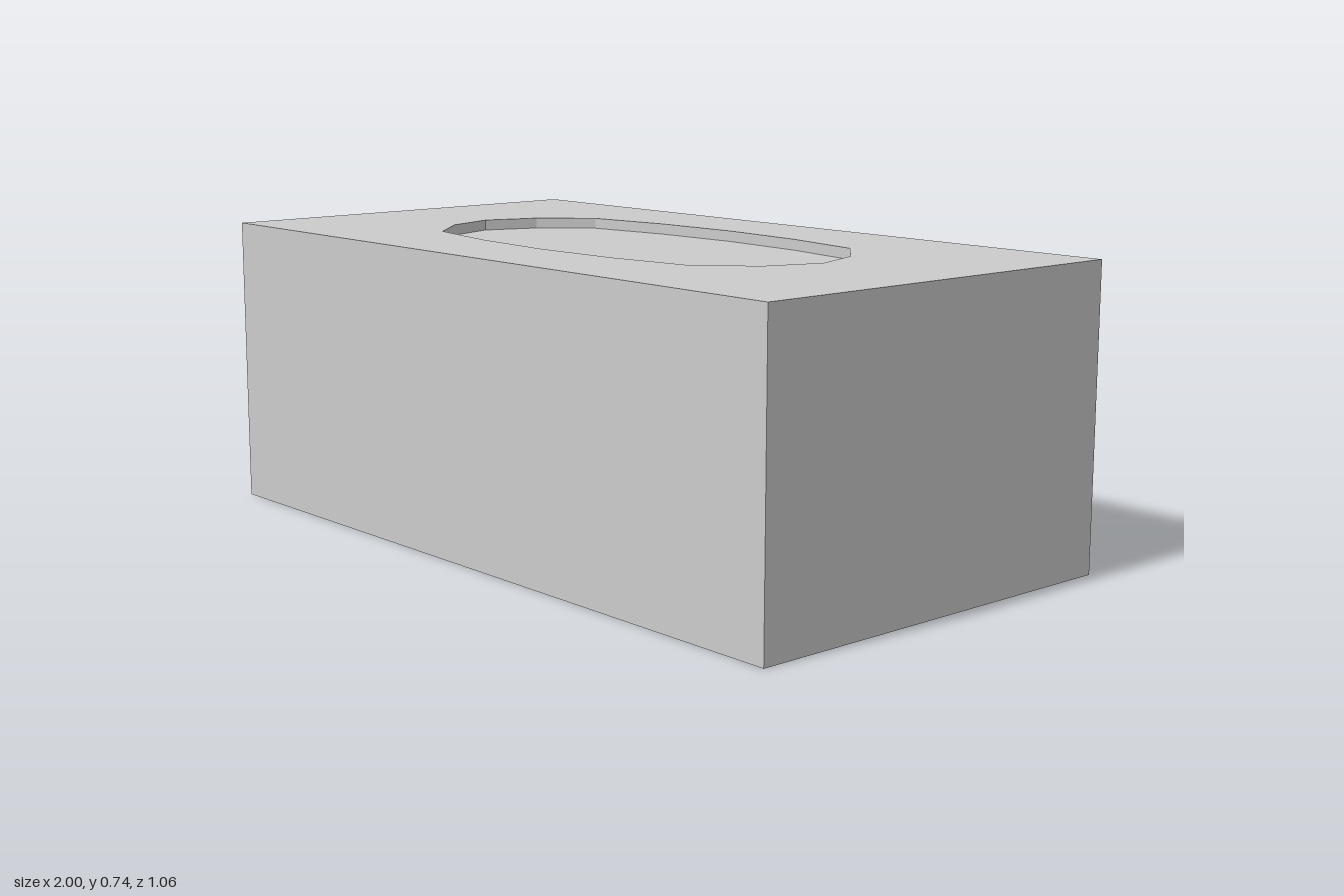
import * as THREE from 'three';
import { mergeGeometries } from 'three/addons/utils/BufferGeometryUtils.js';

const HEIGHT = 0.743, FLOOR = 0.716;
const HALF_X = 1, HALF_Z = 0.532;

// Flat face filling a plan outline, facing up or down.
function cap(shape, y, up = true) {
  const g = new THREE.ShapeGeometry(shape).toNonIndexed();
  g.deleteAttribute('uv');
  return g.rotateX(up ? -Math.PI / 2 : Math.PI / 2).translate(0, y, 0);
}

// Vertical band along a closed outline; anticlockwise faces outward, clockwise inward.
function wall(loop, y0, y1) {
  const pos = [];
  loop.forEach((a, i) => {
    const b = loop[(i + 1) % loop.length];
    for (const [p, y] of [[a, y0], [b, y0], [b, y1], [a, y0], [b, y1], [a, y1]]) {
      pos.push(p.x, y, -p.y);
    }
  });
  const g = new THREE.BufferGeometry();
  g.setAttribute('position', new THREE.Float32BufferAttribute(pos, 3));
  g.computeVertexNormals();
  return g;
}

// Sixteen-sided oval, mirrored from one quarter.
function ovalLoop() {
  const quarter = [[0.633, 0], [0.585, 0.138], [0.474, 0.255], [0.245, 0.294]];
  const half = [...quarter, [0, 0.308], ...quarter.slice(1).reverse().map(([x, y]) => [-x, y])];
  const full = [...half, ...half.map(([x, y]) => [-x, -y])];
  return full.map(([x, y]) => new THREE.Vector2(x, y + 0.003));
}

export function createModel() {
  const model = new THREE.Group();
  model.name = 'block';
  const material = new THREE.MeshStandardMaterial({ color: 0xcccccc, flatShading: true });
  const add = (name, parts) => {
    const mesh = new THREE.Mesh(mergeGeometries(parts), material);
    mesh.name = name;
    model.add(mesh);
  };

  const outline = [[-1, -1], [1, -1], [1, 1], [-1, 1]]
    .map(([x, y]) => new THREE.Vector2(x * HALF_X, y * HALF_Z));
  const oval = ovalLoop();

  // Block: sides, underside and a top with an oval opening
  const top = new THREE.Shape(outline);
  top.holes.push(new THREE.Path(oval));
  add('body', [
    wall(outline, 0, HEIGHT),
    cap(new THREE.Shape(outline), 0, false).scale(1, 1, 1),
    cap(top, HEIGHT),
  ]);

  // Shallow oval recess in the top
  add('recess', [
    wall([...oval].reverse(), FLOOR, HEIGHT),
    cap(new THREE.Shape(oval), FLOOR),
  ]);
  return model;
}
